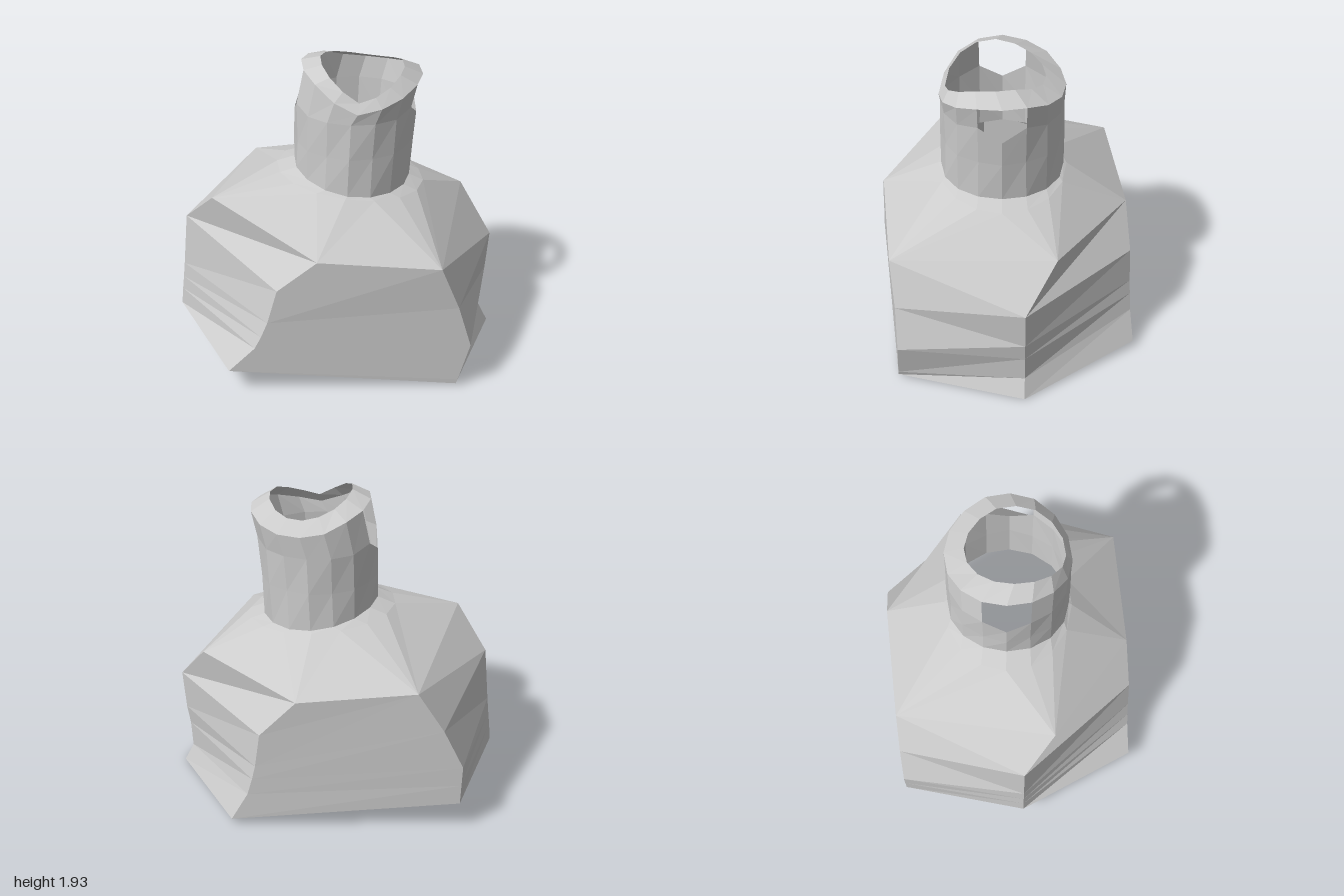
import * as THREE from 'three';

const material = new THREE.MeshStandardMaterial({ color: 0xcccccc, flatShading: true, side: THREE.DoubleSide });

// Collects triangles of points into one faceted mesh
function facets(name, build) {
  const pos = [];
  const tri = (a, b, c) => pos.push(...a, ...b, ...c);
  const quad = (a, b, c, d) => { tri(a, b, c); tri(a, c, d); };
  build(tri, quad);
  const geo = new THREE.BufferGeometry();
  geo.setAttribute('position', new THREE.Float32BufferAttribute(pos, 3));
  geo.computeVertexNormals();
  const mesh = new THREE.Mesh(geo, material);
  mesh.name = name;
  return mesh;
}

// Six corner columns of the body, counterclockwise from the front right corner, bottom to top
const columns = [
  [[-0.59, 0.16, 0.83], [-0.43, 0.32, 0.81], [-0.39, 0.4, 0.805], [-0.35, 0.5, 0.8], [-0.29, 0.72, 0.79]],
  [[0.8, 0.02, 0.65], [0.81, 0.05, 0.65], [0.88, 0.3, 0.64], [0.8, 0.57, 0.65], [0.69, 0.85, 0.68]],
  [[1, 0, -0.14], [0.94, 0.12, -0.14], [0.95, 0.29, -0.14], [0.97, 0.41, -0.14], [0.99, 0.66, -0.14]],
  [[0.52, 0.05, -0.84], [0.42, 0.23, -0.82], [0.39, 0.34, -0.815], [0.37, 0.43, -0.81], [0.34, 0.65, -0.805]],
  [[-0.87, 0.19, -0.65], [-0.875, 0.32, -0.65], [-0.88, 0.45, -0.65], [-0.76, 0.7, -0.665], [-0.6, 0.95, -0.68]],
  [[-1, 0.2, 0.13], [-0.99, 0.31, 0.13], [-0.98, 0.4, 0.13], [-0.97, 0.5, 0.13], [-0.94, 0.85, 0.13]],
];
const top = columns.map((c) => c[4]);

// Ring of the shoulder above the columns
const shoulder = [[-0.05, 0.91, 0.76], top[1], [0.79, 0.93, -0.33], [0.12, 0.88, -0.78], top[4], [-0.74, 1.08, 0.31]];

const N = 16;
const angle = (i) => (i / N) * Math.PI * 2;
const ring = (f) => Array.from({ length: N }, (_, i) => f(Math.sin(angle(i)), Math.cos(angle(i)), i));

// Heights of the torn rim, starting at the front and going round by the right side
const rim = [1.76, 1.79, 1.83, 1.87, 1.88, 1.88, 1.85, 1.83, 1.83, 1.85, 1.88, 1.91, 1.93, 1.92, 1.88, 1.82];
// Wall columns beside the two side openings
const isHole = (i) => [3, 4, 5].includes(i % 8);

const collar = ring((s, c) => [0.09 + 0.46 * s, 1.15 - 0.05 * s, 0.4 * c]);
const neckRows = [
  ring((s, c) => [0.1 + 0.36 * s, 1.19 - 0.05 * s - 0.03 * c * c, 0.38 * c]),
  ring((s, c, i) => [0.11 + (i % 2 ? 0.36 : 0.37) * s, 1.4, (i % 2 ? 0.37 : 0.38) * c]),
  ring((s, c, i) => [0.12 + 0.375 * s, isHole(i) ? (i % 8 === 4 ? 1.57 : 1.66) : 1.63, 0.375 * c]),
  ring((s, c, i) => [0.16 + 0.37 * s, rim[i] - (s < -0.5 ? 0.04 : 0.06), 0.38 * c]),
  ring((s, c, i) => [0.165 + 0.255 * s, rim[i], 0.04 + 0.3 * c]),
];

export function createModel() {
  const group = new THREE.Group();
  group.name = 'bottle';

  // Faceted body, open underneath
  group.add(facets('body', (tri, quad) => {
    columns.forEach((a, k) => {
      const b = columns[(k + 1) % 6];
      for (let i = 0; i < 4; i++) quad(a[i], b[i], b[i + 1], a[i + 1]);
    });
    const [A, B, C, D, E, F] = top;
    const [front, , right, back, , left] = shoulder;
    tri(A, B, front);
    tri(F, A, front);
    tri(F, front, left);
    tri(D, E, back);
    tri(C, D, back);
    tri(C, back, right);
    tri(B, C, right);
    tri(E, F, left);
  }));

  // Sloping shoulder, fanned from the nearest body corner to the collar
  group.add(facets('shoulder', (tri, quad) => {
    const gap = (p, i) => {
      const d = Math.atan2(p[0] - 0.1, p[2]) - angle(i);
      return Math.abs(Math.atan2(Math.sin(d), Math.cos(d)));
    };
    const nearest = (i) => shoulder.reduce((best, p, k) => (gap(p, i) < gap(shoulder[best], i) ? k : best), 0);
    for (let i = 0; i < N; i++) {
      const j = (i + 1) % N;
      const k = nearest(i);
      const m = nearest(j);
      tri(shoulder[k], collar[j], collar[i]);
      if (m !== k) tri(shoulder[k], shoulder[m], collar[j]);
      quad(collar[i], collar[j], neckRows[0][j], neckRows[0][i]);
    }
  }));

  // Neck wall and torn rim with an opening on each side
  const strip = (name, rows, skip) => group.add(facets(name, (tri, quad) => {
    for (const r of rows) {
      for (let i = 0; i < N; i++) {
        const j = (i + 1) % N;
        if (skip && r === 2 && isHole(i) && isHole(j)) continue;
        quad(neckRows[r][i], neckRows[r][j], neckRows[r + 1][j], neckRows[r + 1][i]);
      }
    }
  }));
  strip('neck', [0, 1, 2], true);
  strip('rim', [3], false);

  return group;
}
